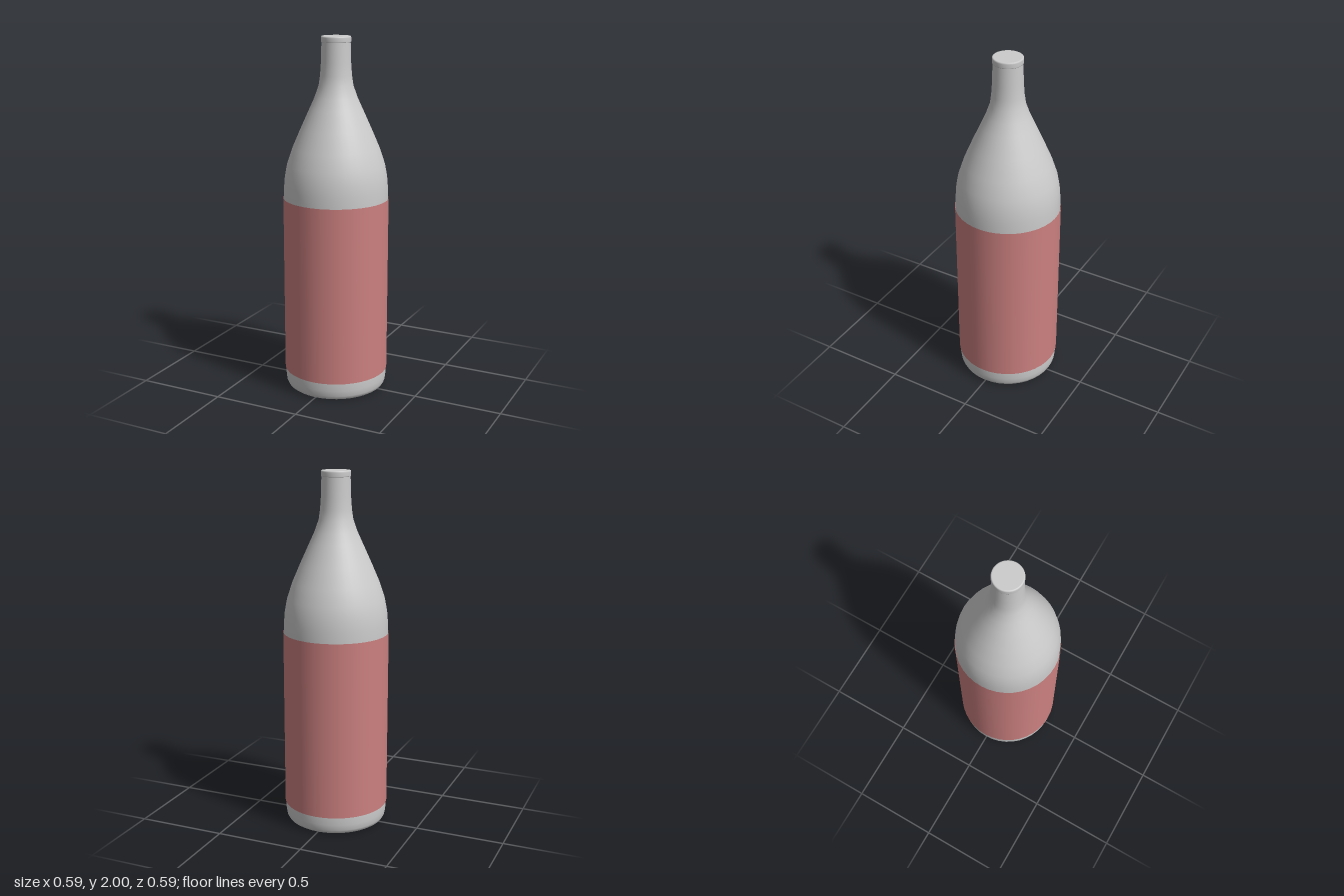
import * as THREE from 'three';

const SIDES = 40;

// Smooth surface of revolution from [radius, height] pairs, listed bottom to top
function turned(name, profile, color) {
  const points = profile.map(([r, y]) => new THREE.Vector2(r, y));
  const mesh = new THREE.Mesh(
    new THREE.LatheGeometry(points, SIDES),
    new THREE.MeshStandardMaterial({ color })
  );
  mesh.name = name;
  return mesh;
}

export function createModel() {
  const group = new THREE.Group();
  group.name = 'bottle';
  const grey = 0xcccccc;

  // Flat base, rounded heel, straight wall, sloping shoulder and slim neck
  group.add(turned('body', [
    [0, 0], [0.255, 0], [0.265, 0.002], [0.277, 0.01], [0.286, 0.028], [0.29, 0.06], [0.291, 0.1],
    [0.291, 1.11], [0.29, 1.17], [0.285, 1.23], [0.272, 1.3], [0.242, 1.39], [0.197, 1.495],
    [0.145, 1.61], [0.118, 1.67], [0.095, 1.735], [0.087, 1.79], [0.082, 1.86], [0.079, 1.97]
  ], grey));

  // Label wrapped around the straight wall
  const label = turned('label', [[0.295, 0.105], [0.295, 1.11]], 0xcc8080);
  label.material.side = THREE.DoubleSide;
  group.add(label);

  // Cap: slight overhang, softly rounded rim, flat top
  group.add(turned('cap', [
    [0.076, 1.968], [0.081, 1.968], [0.082, 1.971], [0.082, 1.992], [0.081, 1.997], [0.078, 2], [0.074, 2], [0, 2]
  ], grey));

  return group;
}
